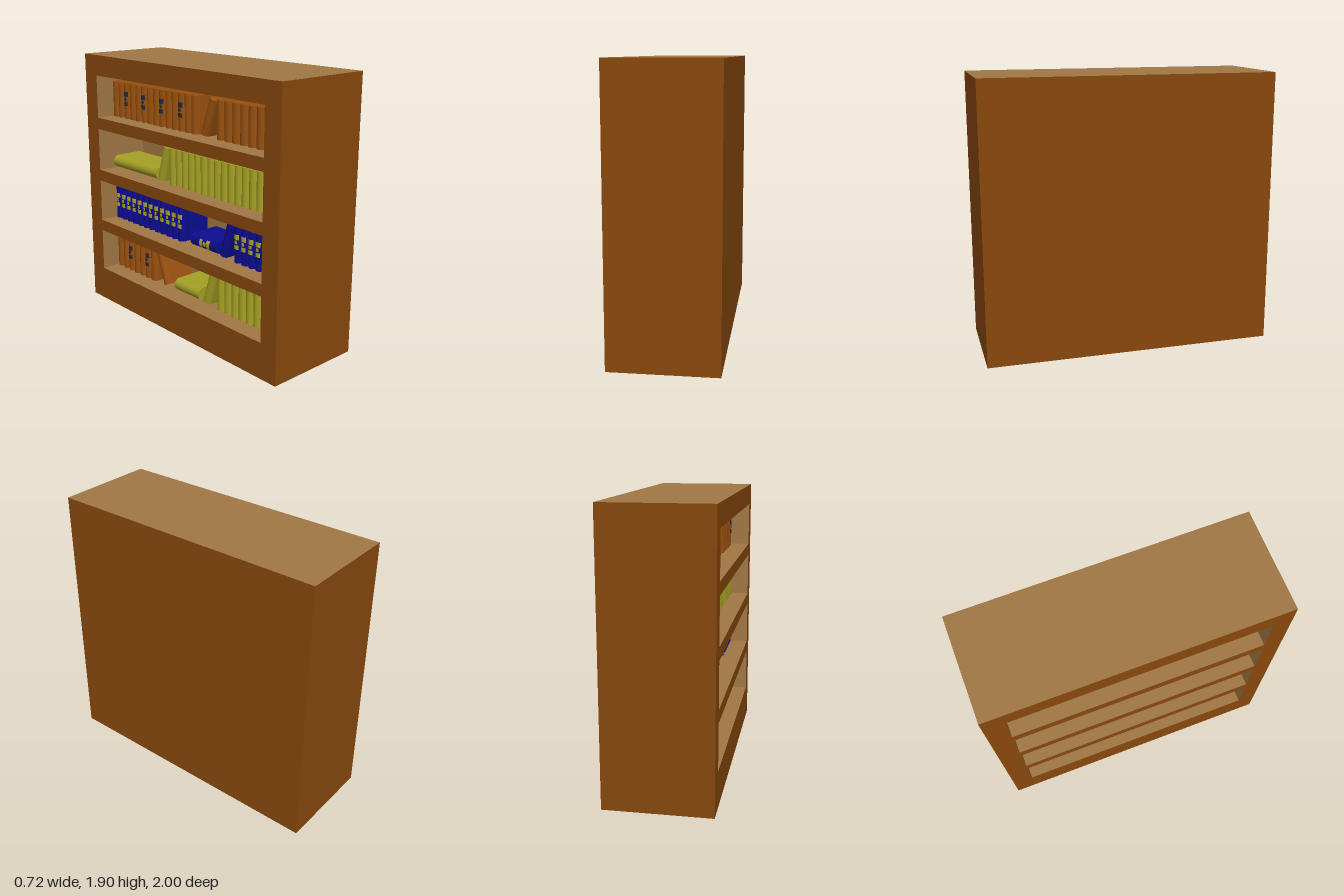
import * as THREE from 'three';

const mat = (name, color) => Object.assign(new THREE.MeshStandardMaterial({ color }), { name });

export function createModel() {
  const brown = mat('brown wood', 0x88480d);
  const tan = mat('tan wood', 0xa27845);
  const black = mat('black underside', 0x080808);
  const rust = mat('rust book', 0x98500f);
  const olive = mat('olive book', 0xa5a024);
  const blue = mat('blue book', 0x0c0c90);
  const gold = mat('gold emblem', 0xb0a22c);
  const navy = mat('navy emblem', 0x23283f);

  const model = new THREE.Group();
  model.name = 'bookcase';

  const X = 0.3575, H = 1.9, BACK = 0.05;      // half depth, height, inner back wall
  const Z0 = -0.86, Z1 = 0.865, OPEN = 0.312;  // opening ends and height
  const floors = [1.44, 1.042, 0.646, 0.25];   // compartment floors, top to bottom

  // Box between limits; materials in order +x, -x, +y, -y, +z, -z
  function panel(name, [x0, x1], [y0, y1], [z0, z1], mats) {
    const m = new THREE.Mesh(new THREE.BoxGeometry(x1 - x0, y1 - y0, z1 - z0), mats);
    m.position.set((x0 + x1) / 2, (y0 + y1) / 2, (z0 + z1) / 2);
    m.name = name;
    model.add(m);
  }

  // Case
  panel('backBlock', [BACK, X], [0, H], [-1, 1], [brown, tan, tan, black, brown, brown]);
  panel('endPostLeft', [-X, BACK], [0, H], [Z1, 1], [brown, brown, tan, black, brown, tan]);
  panel('endPostRight', [-X, BACK], [0, H], [-1, Z0], [brown, brown, tan, black, tan, brown]);
  const rail = [brown, brown, tan, tan, brown, brown];
  panel('topRail', [-X, BACK], [floors[0] + OPEN, H], [Z0, Z1], rail);
  for (let i = 0; i < 3; i++)
    panel('shelf', [-X, BACK], [floors[i + 1] + OPEN, floors[i]], [Z0, Z1], rail);
  panel('bottomRail', [-X, BACK], [0, floors[3]], [Z0, Z1], [brown, brown, tan, black, brown, brown]);

  // Book with a rounded spine facing -x, its base at y = 0 and its thickness centred on z = 0
  const FRONT = -0.23, DEPTH = 0.24, BOOK_H = 0.26;
  function book(cover, emblem, t) {
    const g = new THREE.Group();
    g.name = 'book';
    const r = t / 2;
    const part = (name, geo, m, x, y) => {
      const mesh = new THREE.Mesh(geo, m);
      mesh.name = name;
      mesh.position.set(x, y, 0);
      g.add(mesh);
    };
    part('bookBody', new THREE.BoxGeometry(DEPTH - r, BOOK_H, t), cover, FRONT + (DEPTH + r) / 2, BOOK_H / 2);
    part('bookSpine', new THREE.CylinderGeometry(r, r, BOOK_H, 12, 1, false, Math.PI, Math.PI),
      cover, FRONT + r, BOOK_H / 2);
    // Emblem patches wrapped on the spine: [height on spine, patch height, arc]
    if (emblem) for (const [y, h, arc] of [[0.18, 0.035, 1.5], [0.145, 0.025, 0.7], [0.11, 0.03, 1.3]])
      part('spineEmblem', new THREE.CylinderGeometry(r + 0.002, r + 0.002, h, 6, 1, true, 1.5 * Math.PI - arc / 2, arc),
        emblem, FRONT + r, y);
    return g;
  }

  // Upright books filling z0..z1; an emblem on every n-th one
  function standing(row, cover, z0, z1, count, emblem, every = 1) {
    const step = (z1 - z0) / count;
    for (let i = 0; i < count; i++) {
      const b = book(cover, i % every === every - 1 ? emblem : null, step * 0.97);
      b.position.set(0, floors[row], z0 + step * (i + 0.5));
      model.add(b);
    }
  }

  // Book tilted about its bottom edge at z; positive angle leans towards +z
  function leaning(row, cover, z, angle, emblem) {
    const t = 0.067, pivot = new THREE.Group();
    const b = book(cover, emblem, t);
    b.position.z = -Math.sign(angle) * t / 2;
    pivot.add(b);
    pivot.name = 'leaningBook';
    pivot.rotation.x = angle;
    pivot.position.set(0, floors[row], z);
    model.add(pivot);
  }

  // Book lying flat, starting at z
  function lying(row, cover, z, emblem) {
    const t = 0.09, b = book(cover, emblem, t);
    b.name = 'lyingBook';
    b.rotation.x = Math.PI / 2;
    b.position.set(0, floors[row] + t / 2, z);
    model.add(b);
  }

  // Top row
  standing(0, rust, Z0, 0.108, 14, navy, 3);
  leaning(0, rust, 0.2, 0.35);
  standing(0, rust, 0.29, 0.8, 7, navy, 7);

  // Second row
  lying(1, olive, Z0);
  lying(1, olive, -0.6);
  leaning(1, olive, -0.27, 0.28);
  standing(1, olive, -0.2, 0.862, 16);

  // Third row
  standing(2, blue, Z0, -0.05, 12, gold);
  lying(2, blue, 0.04, gold);
  leaning(2, blue, 0.39, 0.3);
  standing(2, blue, 0.467, 0.862, 6, gold);

  // Bottom row
  standing(3, rust, Z0, -0.37, 7, navy, 3);
  leaning(3, rust, -0.28, -0.35);
  lying(3, olive, -0.14);
  leaning(3, olive, 0.22, 0.3);
  standing(3, olive, 0.3, 0.862, 8);

  return model;
}
